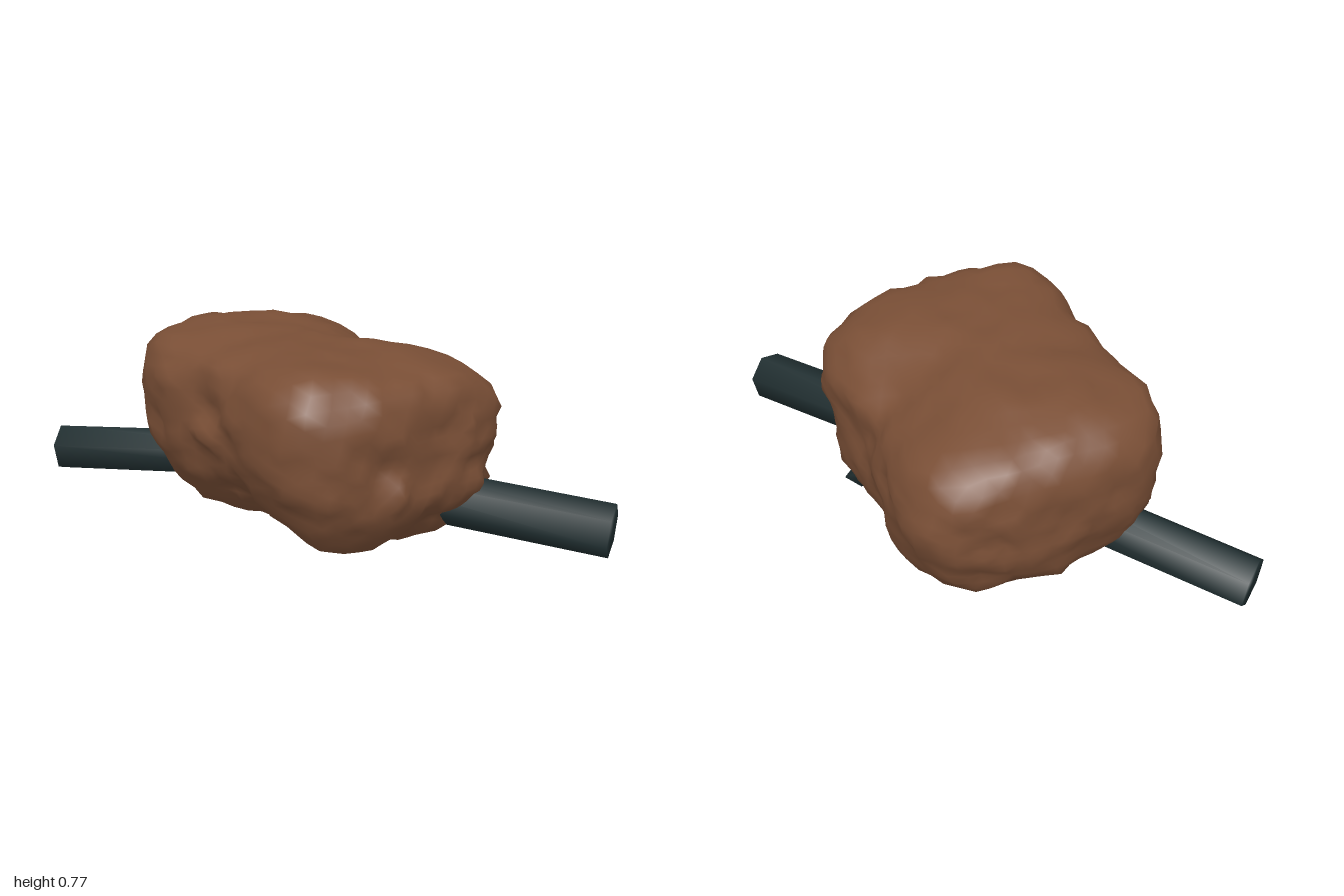
import * as THREE from 'three';
import { mergeVertices } from 'three/addons/utils/BufferGeometryUtils.js';

const { lerp, smoothstep } = THREE.MathUtils;
const brown = new THREE.MeshStandardMaterial({ color: 0x7a4f36 });
brown.name = 'earth brown';
const dark = new THREE.MeshStandardMaterial({ color: 0x202e30 });
dark.name = 'dark slate';

// Broad dents and swellings of the lump: centre, radius, push
const dents = [
  [0.12, 0.08, 0.36, 0.25, -0.1],
  [-0.08, 0.74, -0.42, 0.22, -0.065],
  [0.52, 0.1, -0.12, 0.2, -0.05],
  [0.28, 0.08, -0.4, 0.18, 0.05],
  [0.4, 0.75, 0.33, 0.17, 0.035],
  [-0.43, 0.5, -0.48, 0.15, 0.025],
  [0.36, 0.48, -0.48, 0.15, 0.025],
  [-0.67, 0.5, 0, 0.2, 0.02],
];

// Seeded lattice hash and smooth value noise in -1..1
function hash(x, y, z) {
  const s = Math.sin(x * 127.1 + y * 311.7 + z * 74.7 + 5.3) * 43758.5453;
  return (s - Math.floor(s)) * 2 - 1;
}
function noise(x, y, z) {
  const c = [x, y, z].map(Math.floor);
  const f = [x, y, z].map((v, i) => smoothstep(v - c[i], 0, 1));
  let sum = 0;
  for (let i = 0; i < 8; i++) {
    const b = [i & 1, (i >> 1) & 1, (i >> 2) & 1];
    const w = b.reduce((a, on, k) => a * (on ? f[k] : 1 - f[k]), 1);
    sum += w * hash(c[0] + b[0], c[1] + b[1], c[2] + b[2]);
  }
  return sum;
}

// Merge the corners so that normals run smoothly over every edge
function smooth(geo) {
  geo.deleteAttribute('uv');
  geo.deleteAttribute('normal');
  const merged = mergeVertices(geo, 1e-4);
  merged.computeVertexNormals();
  return merged;
}

// Lumpy boulder: boxy on top with a waist, rounded below, roughened
function lumpGeometry() {
  const geo = smooth(new THREE.IcosahedronGeometry(1, 12));
  const p = geo.attributes.position;
  const d = new THREE.Vector3();
  for (let i = 0; i < p.count; i++) {
    d.fromBufferAttribute(p, i).normalize();
    const top = smoothstep(d.y, -0.5, 0.2);
    const middle = Math.exp(-((d.x / 0.35) ** 2));
    const px = lerp(3.6, 5, top);
    const py = d.y > 0 ? 5 : 2.6;
    const pz = lerp(2.7, 4.4 - 1.5 * middle, top);
    // Solve for the radius that lands on the mixed-power surface
    let lo = 0, hi = 2;
    for (let k = 0; k < 30; k++) {
      const r = (lo + hi) / 2;
      const v = Math.abs(r * d.x) ** px + Math.abs(r * d.y) ** py + Math.abs(r * d.z) ** pz;
      if (v < 1) lo = r; else hi = r;
    }
    const q = d.clone().multiplyScalar(lo);
    const low = Math.max(0, -q.y), high = Math.max(0, q.y);
    const waist = 1 - 0.06 * Math.exp(-((q.x / 0.4) ** 2));
    let x = -0.03 + 0.635 * q.x;
    let z = -0.015 + 0.485 * q.z * waist - 0.08 * low * low + 0.02 * high * high;
    let y = 0.395 + 0.375 * q.y - 0.08 * high * Math.max(0, -q.z - 0.2);
    const rough = 0.022 * noise(x * 7, y * 7, z * 7) + 0.018 * noise(x * 13 + 9, y * 13, z * 13);
    const chip = Math.max(0, noise(x * 11, y * 11 + 20, z * 11) - 0.5) * 0.05;
    let push = (rough + chip) * (1 - 0.4 * Math.abs(d.y));
    for (const [cx, cy, cz, r, amount] of dents) {
      push += amount * Math.exp(-((x - cx) ** 2 + (y - cy) ** 2 + (z - cz) ** 2) / (r * r));
    }
    x += d.x * push + 0.014 * noise(x * 18, y * 18, z * 18 + 40);
    y += d.y * push;
    z += d.z * push + 0.014 * noise(x * 18 + 60, y * 18, z * 18);
    p.setXYZ(i, x, Math.max(0, y), z);
  }
  geo.computeVertexNormals();
  return geo;
}

// Straight rod between two points
function rod(name, from, to, radius = 0.097, sides = 6) {
  const a = new THREE.Vector3(...from), b = new THREE.Vector3(...to);
  const geo = new THREE.CylinderGeometry(radius, radius, a.distanceTo(b), sides, 1, false, Math.PI / 12);
  const mesh = new THREE.Mesh(smooth(geo), dark);
  mesh.position.copy(a).add(b).multiplyScalar(0.5);
  mesh.quaternion.setFromUnitVectors(new THREE.Vector3(0, 1, 0), b.sub(a).normalize());
  mesh.name = name;
  return mesh;
}

export function createModel() {
  const model = new THREE.Group();
  model.name = 'lumpWithRods';
  const lump = new THREE.Mesh(lumpGeometry(), brown);
  lump.name = 'lump';
  model.add(
    lump,
    rod('rightRod', [-0.945, 0.178, 0.585], [0.1, 0.28, -0.19]),
    rod('leftRod', [0.95, 0.18, -0.59], [0, 0.235, 0]),
    // Small tip breaking out of the underside at the back
    rod('rodTip', [0.17, 0.17, -0.355], [0.262, 0.092, -0.447], 0.055, 3)
  );
  return model;
}
